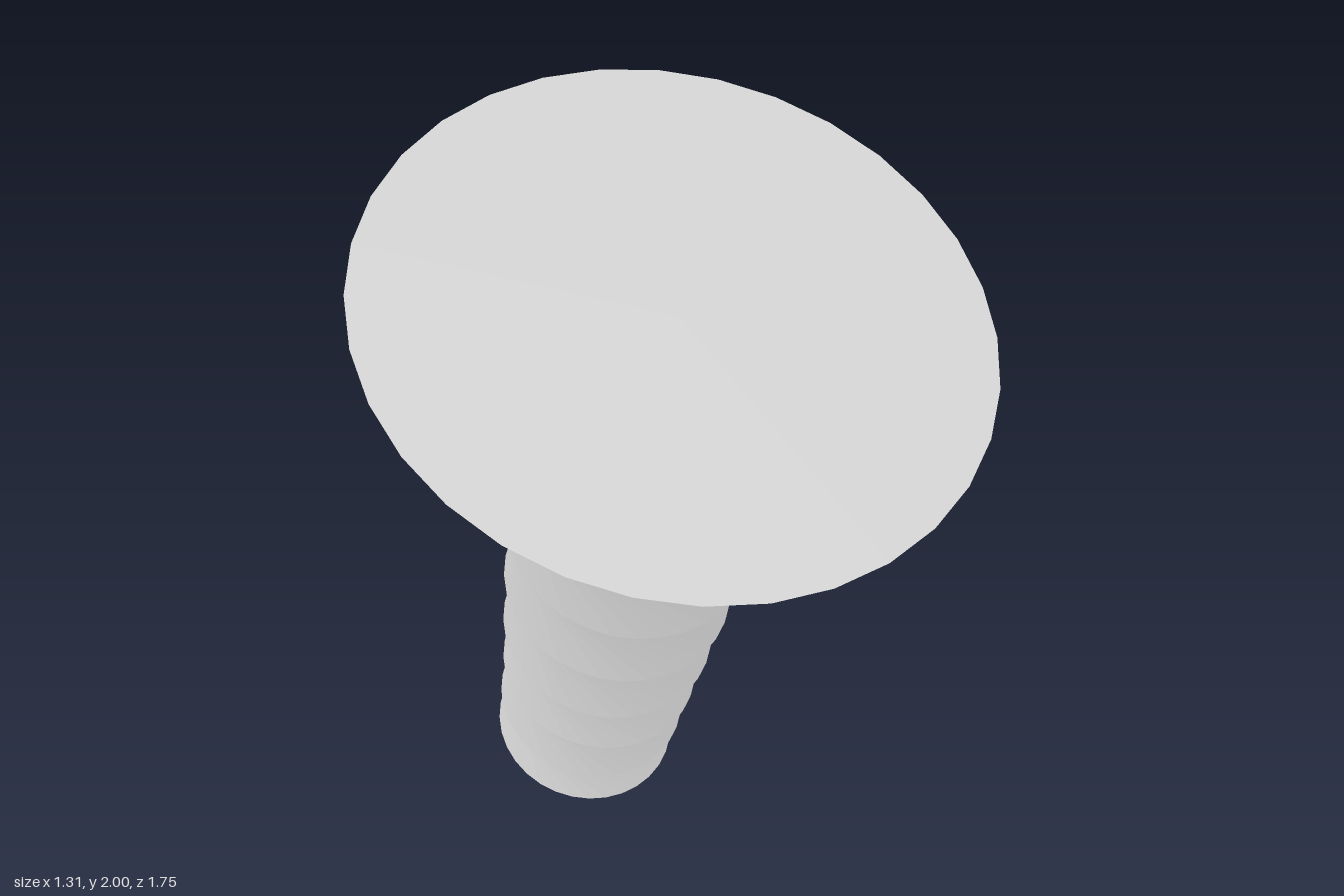
import * as THREE from 'three';

const SIDES = 32;
const STEP = (Math.PI * 2) / SIDES;
const TWIST = 6 * STEP; // turn from one thread crest to the next

const material = new THREE.MeshStandardMaterial({ color: 0xcccccc, flatShading: true });

// Rings are { depth below the head face, radius, sideways shift, turn }.
const ring = (depth, radius, shift, turn = 0) => ({ depth, radius, shift, turn });

// Skins a row of rings from top to bottom, optionally closing either end.
function loft(name, rings, { capTop = false, capBottom = false } = {}) {
  const positions = [];
  const index = [];
  for (const r of rings) {
    for (let j = 0; j < SIDES; j++) {
      const a = j * STEP + r.turn;
      positions.push(r.shift + r.radius * Math.sin(a), -r.depth, r.radius * Math.cos(a));
    }
  }
  for (let i = 0; i < rings.length - 1; i++) {
    for (let j = 0; j < SIDES; j++) {
      const k = (j + 1) % SIDES;
      const a = i * SIDES, b = a + SIDES;
      index.push(a + j, b + j, b + k, a + j, b + k, a + k);
    }
  }
  const cap = (i, up) => {
    const centre = positions.length / 3;
    positions.push(rings[i].shift, -rings[i].depth, 0);
    for (let j = 0; j < SIDES; j++) {
      const p = i * SIDES + j, q = i * SIDES + ((j + 1) % SIDES);
      index.push(centre, up ? p : q, up ? q : p);
    }
  };
  if (capTop) cap(0, true);
  if (capBottom) cap(rings.length - 1, false);

  const geometry = new THREE.BufferGeometry();
  geometry.setAttribute('position', new THREE.Float32BufferAttribute(positions, 3));
  geometry.setIndex(index);
  geometry.computeVertexNormals();
  const mesh = new THREE.Mesh(geometry, material);
  mesh.name = name;
  return mesh;
}

export function createModel() {
  const model = new THREE.Group();
  model.name = 'screw';

  // Countersunk head with a flat face
  const neck = ring(0.304, 0.312, 0.02);
  model.add(loft('head', [ring(0, 0.655, 0), ring(0.136, 0.556, 0.01), neck], { capTop: true }));

  // Plain collar under the head
  const collarEnd = ring(0.552, 0.305, 0.025);
  model.add(loft('collar', [neck, collarEnd]));

  // Tapering thread: flat crests joined by a twisted skin, which pinches in between them
  const crests = [
    [0.802, 0.287, 0.045],
    [1.035, 0.272, 0.058],
    [1.251, 0.259, 0.071],
    [1.444, 0.246, 0.083],
    [1.627, 0.237, 0.092],
    [1.782, 0.23, 0.1],
  ].map(([d, r, s], i) => ring(d, r, s, (i + 1) * TWIST));
  model.add(loft('thread', [collarEnd, ...crests]));

  // Blunt tip
  const last = crests[crests.length - 1];
  model.add(loft('tip', [last, ring(1.939, 0.071, 0.105, last.turn)], { capBottom: true }));

  // Lean the screw so that its head faces up and forward
  model.rotation.x = Math.atan2(0.76, 1.07);
  model.position.set(0, 1.62, 0.345);

  const root = new THREE.Group();
  root.add(model);
  return root;
}
